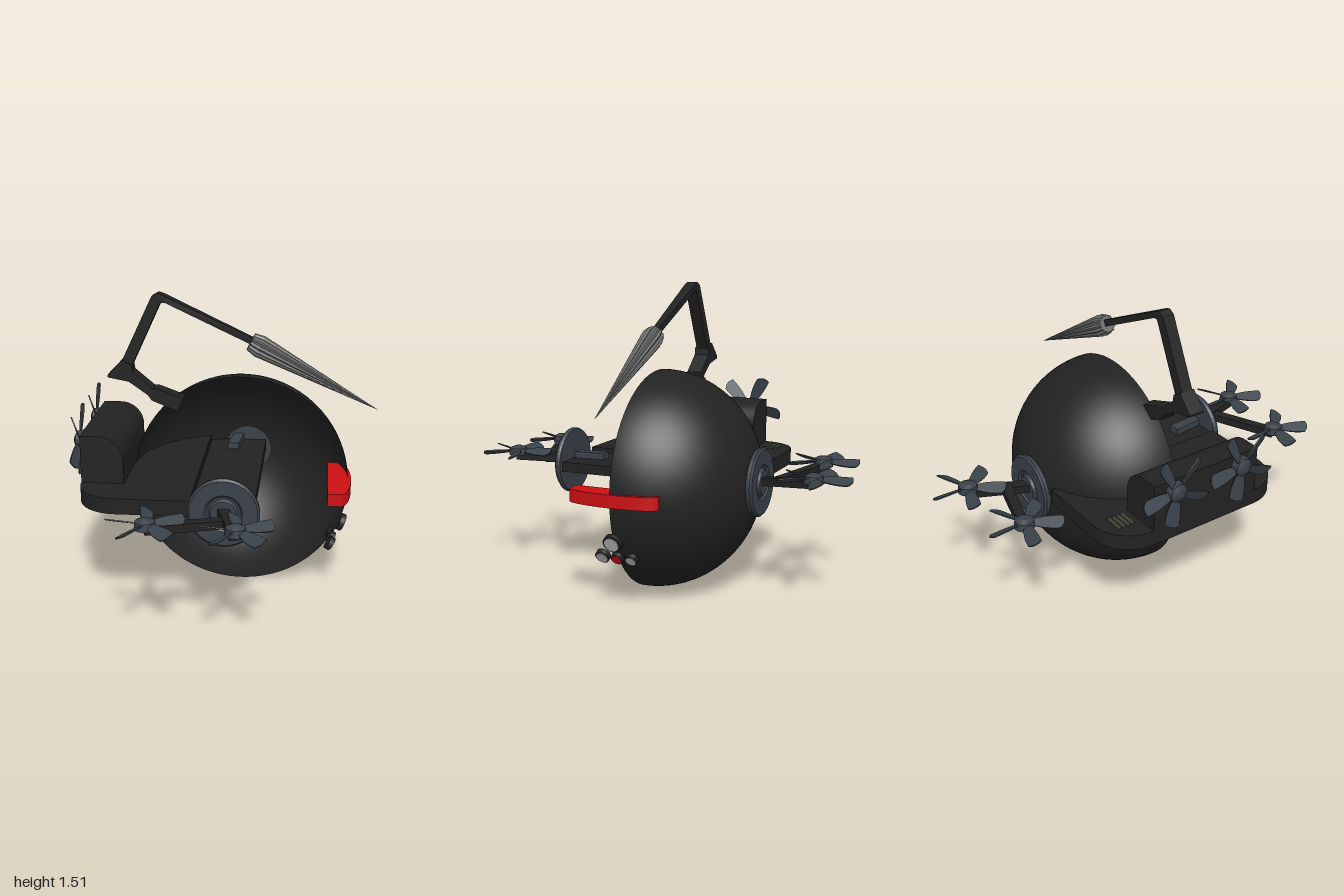
import * as THREE from 'three';

const mat = (color, flat = false) => new THREE.MeshStandardMaterial({ color, side: THREE.DoubleSide, flatShading: flat });
const BLACK = mat(0x222222), DARK = mat(0x222222, true), STEEL = mat(0x3a4149, true), BLADE = mat(0x39424a);
const RED = mat(0xcc1014), GREY = mat(0x6c6c6c, true), LENS = mat(0xb8b8b8), VENT = mat(0x3c4436);
const V = (x, y, z) => new THREE.Vector3(x, y, z);

function add(parent, name, geo, material, pos = [0, 0, 0]) {
  const m = new THREE.Mesh(geo, material);
  m.name = name;
  m.position.set(...pos);
  parent.add(m);
  return m;
}

function extrude(pts, depth) {
  const shape = new THREE.Shape(pts.map(p => new THREE.Vector2(...p)));
  return new THREE.ExtrudeGeometry(shape, { depth, bevelEnabled: false });
}

// Flat plan (x, z) raised from height y0 to y1
function slab(shape, y0, y1) {
  const g = new THREE.ExtrudeGeometry(shape, { depth: y1 - y0, bevelEnabled: false, curveSegments: 12 });
  return g.rotateX(Math.PI / 2).translate(0, y1, 0);
}

// Square bar between two points
function bar(parent, name, a, b, w, h) {
  const m = add(parent, name, new THREE.BoxGeometry(w, h, a.distanceTo(b)), DARK);
  m.position.copy(a).add(b).multiplyScalar(0.5);
  m.lookAt(b);
  return m;
}

// Five-bladed propeller with its axis along y
function propeller(name, spin) {
  const g = new THREE.Group();
  g.name = name;
  add(g, 'hub', new THREE.CylinderGeometry(0.045, 0.05, 0.035, 16), STEEL);
  add(g, 'hubCap', new THREE.CylinderGeometry(0.02, 0.045, 0.012, 16), STEEL, [0, 0.023, 0]);
  const s = new THREE.Shape();
  s.moveTo(0.03, -0.012);
  s.quadraticCurveTo(0.1, -0.04, 0.165, -0.035);
  s.quadraticCurveTo(0.195, -0.01, 0.18, 0.03);
  s.quadraticCurveTo(0.1, 0.035, 0.03, 0.014);
  const geo = new THREE.ExtrudeGeometry(s, { depth: 0.006, bevelEnabled: false, curveSegments: 6 });
  geo.rotateX(-Math.PI / 2 + 0.45);
  for (let i = 0; i < 5; i++) {
    add(g, 'blade', geo, BLADE).rotation.y = spin + i * Math.PI * 0.4;
  }
  return g;
}

export function createModel() {
  const root = new THREE.Group();

  // Half shell, open to the front
  for (const [name, t] of [['upperShell', 0], ['lowerShell', Math.PI / 2]]) {
    const geo = new THREE.SphereGeometry(0.547, 40, 20, Math.PI, Math.PI, t, Math.PI / 2);
    add(root, name, geo, BLACK, [0.067, 0.55, 0]).scale.z = 0.955;
  }

  // Platform with rounded rear corners
  const plan = new THREE.Shape();
  plan.moveTo(-0.135, -0.5);
  plan.lineTo(-0.135, 0.5);
  plan.lineTo(-0.49, 0.5);
  plan.absarc(-0.49, 0.3, 0.2, Math.PI / 2, Math.PI, false);
  plan.absarc(-0.49, -0.3, 0.2, Math.PI, Math.PI * 1.5, false);
  add(root, 'platform', slab(plan, 0.55, 0.628), DARK);
  add(root, 'crossBeam', new THREE.BoxGeometry(0.3, 0.05, 1.02), DARK, [0.018, 0.576, 0]);

  // Engine block with one rounded top edge
  const block = new THREE.Shape();
  block.moveTo(-0.69, 0.62);
  block.lineTo(-0.48, 0.62);
  block.lineTo(-0.48, 0.74);
  block.absarc(-0.6, 0.745, 0.12, 0, Math.PI / 2, false);
  block.lineTo(-0.69, 0.865);
  add(root, 'engineBlock', new THREE.ExtrudeGeometry(block, { depth: 0.6, bevelEnabled: false }), BLACK, [0, 0, -0.3]);

  // Vent slats
  for (let i = 0; i < 4; i++) {
    add(root, 'ventSlat', new THREE.BoxGeometry(0.095, 0.012, 0.02), VENT, [-0.545, 0.631, -0.417 + i * 0.024]);
  }

  // Rear thrusters
  for (const s of [-1, 1]) {
    const p = propeller('rearPropeller', 0.5);
    p.position.set(-0.71, 0.81, s * 0.19);
    p.rotation.z = Math.PI / 2;
    root.add(p);
  }

  // Side discs with paired lift propellers
  for (const s of [1, -1]) {
    const g = new THREE.Group();
    g.name = s > 0 ? 'frontLift' : 'backLift';
    const cy = s > 0 ? 0.588 : 0.565;
    const prof = [[0, 0], [0.165, 0], [0.17, 0.01], [0.17, 0.022], [0.16, 0.032], [0.09, 0.032],
      [0.08, 0.02], [0.07, 0.02], [0.06, 0.036], [0, 0.036]].map(p => new THREE.Vector2(...p));
    const disc = add(g, 'disc', new THREE.LatheGeometry(prof, 40), STEEL, [0.03, cy, s * 0.508]);
    disc.rotation.x = s * Math.PI / 2;
    const bracket = extrude([[-0.03, 0.34], [0.03, 0.34], [0.045, 0.51], [-0.01, 0.51]], 0.04);
    bracket.rotateX(Math.PI / 2).translate(0, 0.635, 0);
    add(g, 'bracket', bracket, STEEL).scale.z = s;
    bar(g, 'mainArm', V(0.02, cy + 0.005, s * 0.5), V(0.11, 0.602, s * 0.815), 0.055, 0.04);
    bar(g, 'sideArm', V(0.07, 0.59, s * 0.64), V(-0.3, 0.602, s * (s > 0 ? 0.78 : 0.745)), 0.05, 0.04);
    const spots = s > 0 ? [[0.11, 0.812, 0.45], [-0.295, 0.78, 0.45]] : [[0.115, -0.82, 0.35], [-0.295, -0.745, 0.4]];
    for (const [x, z, spin] of spots) {
      const p = propeller('liftPropeller', spin);
      p.position.set(x, 0.625, z);
      g.add(p);
    }
    root.add(g);
  }

  // Jointed arm rising over the shell
  const lower = [[-0.216, 0.988], [-0.345, 1.036], [-0.37, 1.036], [-0.47, 1.12], [-0.474, 1.153], [-0.506, 1.17],
    [-0.52, 1.18], [-0.597, 1.1], [-0.595, 1.09], [-0.49, 1.07], [-0.397, 1.004], [-0.377, 0.976], [-0.248, 0.923]];
  add(root, 'lowerArm', extrude(lower, 0.08), DARK, [0, 0, -0.04]);
  const upper = [[-0.53, 1.16], [-0.37, 1.495], [-0.34, 1.513], [-0.312, 1.504], [0.127, 1.298],
    [0.113, 1.268], [-0.304, 1.468], [-0.325, 1.468], [-0.474, 1.15]];
  const upperGeo = extrude(upper, 0.06).translate(0, 0, -0.03);
  const up = upperGeo.attributes.position;
  for (let i = 0; i < up.count; i++) if (up.getX(i) > 0) up.setZ(i, up.getZ(i) * 0.5);
  add(root, 'upperArm', upperGeo, DARK);

  // Fluted spike
  const a = V(0.115, 1.278, 0), b = V(0.75, 0.945, 0), len = a.distanceTo(b);
  const cone = new THREE.LatheGeometry([[0, 0], [0.046, 0], [0.056, 0.05], [0, len]].map(p => new THREE.Vector2(...p)), 28);
  const cp = cone.attributes.position;
  for (let i = 0; i < cp.count; i++) {
    const k = Math.floor(i / 4) % 2 ? 0.84 : 1;
    cp.setX(i, cp.getX(i) * k);
    cp.setZ(i, cp.getZ(i) * k);
  }
  const spike = add(root, 'spike', cone, GREY);
  spike.position.copy(a);
  spike.quaternion.setFromUnitVectors(V(0, 1, 0), b.clone().sub(a).normalize());

  // Red bumper
  const bump = new THREE.Shape();
  bump.moveTo(0.51, -0.23);
  bump.lineTo(0.572, -0.23);
  bump.bezierCurveTo(0.615, -0.2, 0.628, -0.08, 0.628, 0);
  bump.bezierCurveTo(0.628, 0.08, 0.615, 0.23, 0.572, 0.23);
  bump.lineTo(0.51, 0.23);
  add(root, 'bumper', slab(bump, 0.517, 0.58), RED);

  // Lamps set square to the shell
  for (const [x, y, z, r, m] of [[0.585, 0.34, 0, 0.045, LENS], [0.53, 0.255, 0.08, 0.036, LENS],
    [0.535, 0.255, 0, 0.031, RED], [0.53, 0.255, -0.072, 0.031, LENS]]) {
    const lamp = new THREE.Group();
    lamp.name = 'lamp';
    add(lamp, 'rim', new THREE.CylinderGeometry(r, r, 0.025, 24), BLACK);
    add(lamp, 'lens', new THREE.CylinderGeometry(r * 0.8, r * 0.8, 0.006, 24), m, [0, 0.013, 0]);
    lamp.position.set(x, y, z);
    lamp.quaternion.setFromUnitVectors(V(0, 1, 0), V(x - 0.067, y - 0.55, 0).normalize());
    root.add(lamp);
  }
  return root;
}
